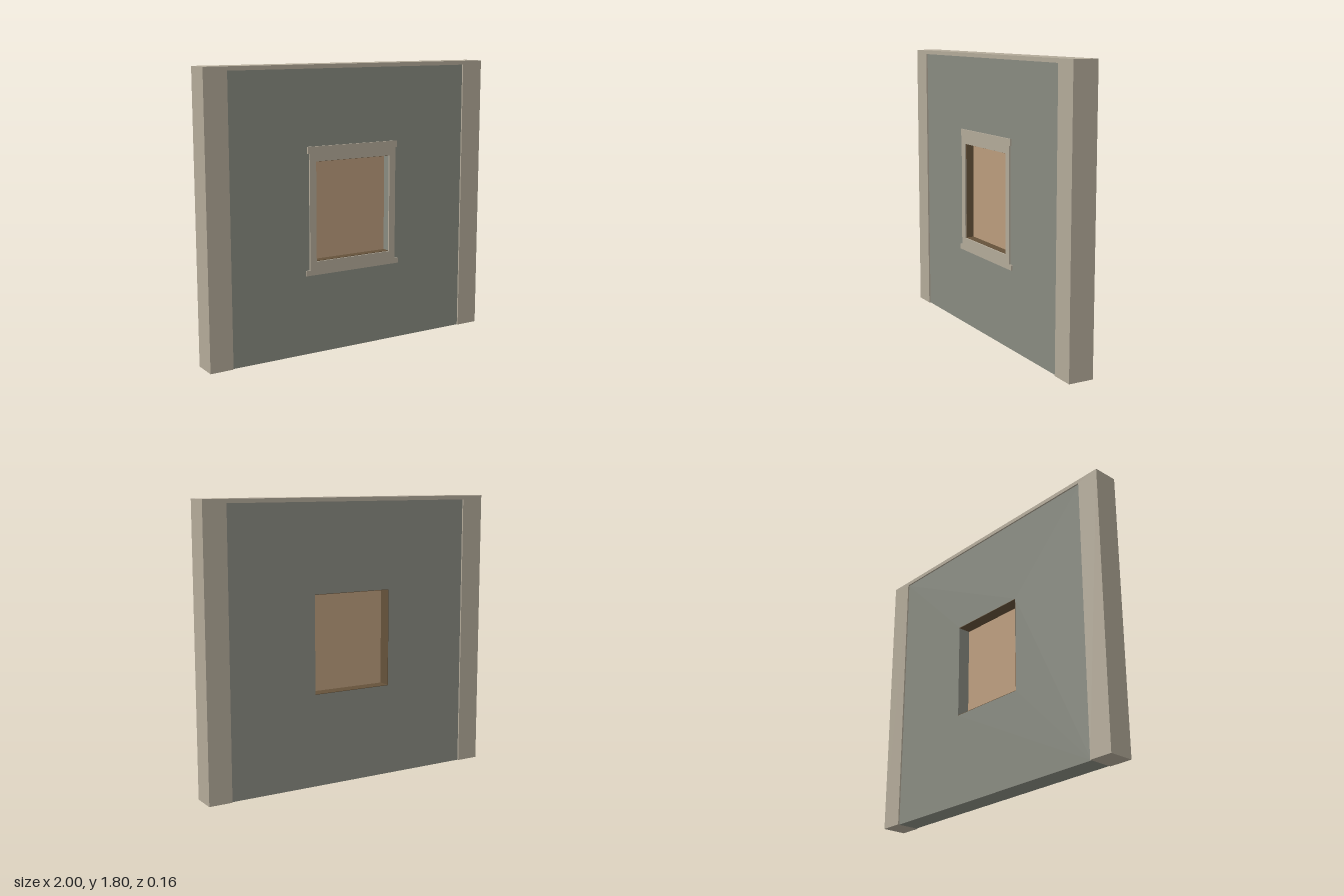
import * as THREE from 'three';

const mat = (name, color) => {
  const m = new THREE.MeshStandardMaterial({ color });
  m.name = name;
  return m;
};

// Closed outline from [x, y] corners
const outline = (pts, Type = THREE.Shape) => new Type(pts.map(([x, y]) => new THREE.Vector2(x, y)));

export function createModel() {
  const group = new THREE.Group();
  const stone = mat('beige stone', 0xb3aa99);
  const plaster = mat('grey plaster', 0x888a80);
  const wood = mat('dark brown wood', 0x65523a);
  const blind = mat('tan pane', 0xbb9c7c);

  const add = (name, geometry, material) => {
    const mesh = new THREE.Mesh(geometry, material);
    mesh.name = name;
    group.add(mesh);
    return mesh;
  };
  // Flat slab between two depths
  const slab = (name, shape, z0, z1, material) => {
    const g = new THREE.ExtrudeGeometry(shape, { depth: z1 - z0, bevelEnabled: false });
    g.translate(0, 0, z0);
    return add(name, g, material);
  };
  const box = (name, x0, x1, y0, y1, z0, z1, material) => {
    const m = add(name, new THREE.BoxGeometry(x1 - x0, y1 - y0, z1 - z0), material);
    m.position.set((x0 + x1) / 2, (y0 + y1) / 2, (z0 + z1) / 2);
  };

  // Window opening
  const W = 0.27, B = 0.59, T = 1.215;
  const opening = () => outline([[-W, B], [-W, T], [W, T], [W, B]], THREE.Path);

  // Side piers joined by a thin top band
  slab('pierFrame', outline([
    [-1, 0], [-0.85, 0], [-0.85, 1.775], [0.85, 1.775],
    [0.85, 0], [1, 0], [1, 1.8], [-1, 1.8],
  ]), -0.08, 0.08, stone);

  // Recessed wall panel
  const panel = outline([[-0.85, 0], [0.85, 0], [0.85, 1.775], [-0.85, 1.775]]);
  panel.holes.push(opening());
  slab('wallPanel', panel, -0.07, 0.07, plaster);

  // Front window surround with wider head and sill
  const half = [
    [0.343, 0.505], [0.343, 0.538], [0.315, 0.538],
    [0.315, 1.265], [0.327, 1.265], [0.327, 1.307],
  ];
  const trim = outline([...half, ...half.map(([x, y]) => [-x, y]).reverse()]);
  trim.holes.push(opening());
  slab('windowSurround', trim, 0.07, 0.08, stone);

  // Wooden lining of the opening
  const t = 0.003;
  box('sillLining', -W, W, B, B + t, -0.07, 0.07, wood);
  box('headLining', -W, W, T - t, T, -0.07, 0.07, wood);
  box('sideLining', -W, -W + t, B, T, -0.07, 0.07, wood);

  // Pane set inside the opening
  box('windowPane', -W, W, B, T, 0.013, 0.019, blind);

  return group;
}
